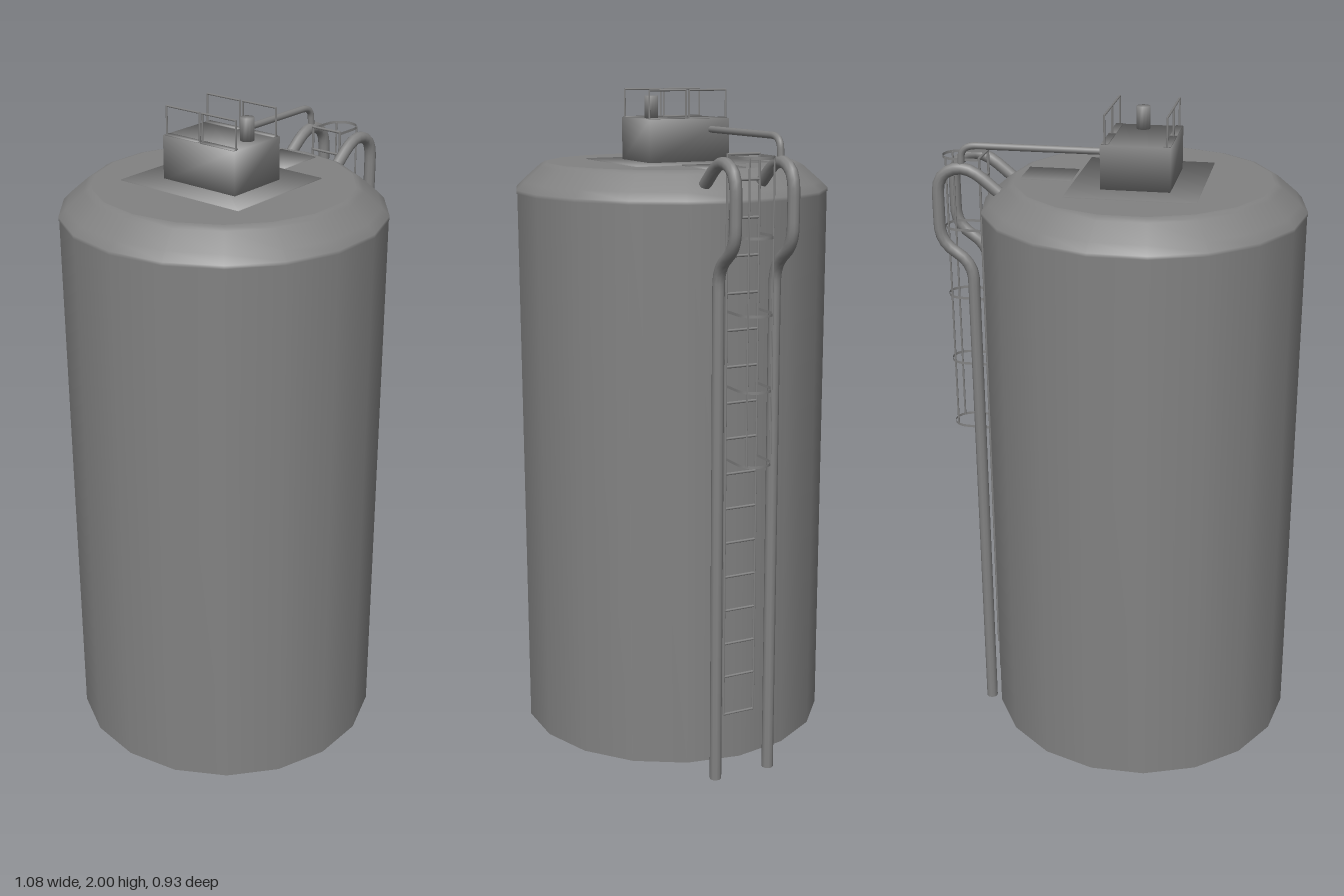
import * as THREE from 'three';

const V = (x, y, z) => new THREE.Vector3(x, y, z);

// Round off the shading: normals point from the centre through each corner
function soften(geo) {
  geo.computeBoundingBox();
  const half = geo.boundingBox.getSize(V(0, 0, 0)).multiplyScalar(0.5);
  const { position, normal } = geo.attributes;
  const n = V(0, 0, 0);
  for (let i = 0; i < position.count; i++) {
    n.fromBufferAttribute(position, i).divide(half).normalize();
    normal.setXYZ(i, n.x, n.y, n.z);
  }
  return geo;
}

export function createModel() {
  const model = new THREE.Group();
  model.name = 'storageTank';
  const mat = new THREE.MeshStandardMaterial({ color: 0x828282 });
  const shell = new THREE.MeshStandardMaterial({ color: 0x828282, side: THREE.DoubleSide });

  const add = (name, geo, parent = model, material = mat) => {
    const mesh = new THREE.Mesh(geo, material);
    mesh.name = name;
    parent.add(mesh);
    return mesh;
  };
  const group = (name) => {
    const g = new THREE.Group();
    g.name = name;
    model.add(g);
    return g;
  };
  // soft-shaded box given by its limits on each axis
  const box = (name, x0, x1, y0, y1, z0, z1, parent) =>
    add(name, soften(new THREE.BoxGeometry(x1 - x0, y1 - y0, z1 - z0)), parent)
      .position.set((x0 + x1) / 2, (y0 + y1) / 2, (z0 + z1) / 2);
  // straight round bar between two points
  const bar = (name, a, b, r, parent) => {
    const m = add(name, new THREE.CylinderGeometry(r, r, a.distanceTo(b), 6), parent);
    m.position.copy(a).lerp(b, 0.5);
    m.quaternion.setFromUnitVectors(V(0, 1, 0), b.clone().sub(a).normalize());
  };
  // polyline path with rounded corners
  const roundedPath = (pts, r) => {
    const path = new THREE.CurvePath();
    let last = pts[0];
    for (let i = 1; i < pts.length - 1; i++) {
      const p = pts[i];
      const cut = (q) => p.clone().add(q.clone().sub(p).setLength(Math.min(r, q.distanceTo(p) * 0.49)));
      const a = cut(pts[i - 1]), b = cut(pts[i + 1]);
      path.add(new THREE.LineCurve3(last, a));
      path.add(new THREE.QuadraticBezierCurve3(a, p, b));
      last = b;
    }
    path.add(new THREE.LineCurve3(last, pts[pts.length - 1]));
    return path;
  };
  const pipe = (name, pts, bend, r, parent) =>
    add(name, new THREE.TubeGeometry(roundedPath(pts, bend), 90, r, 10), parent, shell);

  // Tank: 18-sided open wall, rounded shoulder and flat roof
  const tank = group('tank');
  tank.position.x = -0.07;
  const lathe = (name, profile) => add(name, new THREE.LatheGeometry(
    profile.map(([x, y]) => new THREE.Vector2(x, y)), 18, Math.PI / 2), tank, shell);
  lathe('wall', [[0.47, 0.04], [0.47, 1.705]]);
  lathe('shoulder', [[0.472, 1.7], [0.472, 1.71], [0.45, 1.732], [0.398, 1.777], [0.385, 1.785], [0.376, 1.787]]);
  add('roof', new THREE.CircleGeometry(0.376, 18).rotateX(-Math.PI / 2), tank, shell).position.y = 1.787;

  // Roof plates and equipment box
  box('roofPlate', -0.25, 0.122, 1.75, 1.79, -0.23, 0.2);
  box('roofHatch', 0.132, 0.28, 1.75, 1.79, -0.067, 0.061);
  box('equipmentBox', -0.165, 0.033, 1.785, 1.915, -0.143, 0.118);
  add('ventStack', soften(new THREE.CylinderGeometry(0.02, 0.02, 0.07, 12)))
    .position.set(-0.055, 1.945, 0.072);

  // Guard rails on both sides of the box, two frames per side
  const rails = group('guardRails');
  for (const x of [-0.154, 0.021]) {
    for (const [z0, z1] of [[-0.137, -0.016], [-0.006, 0.113]]) {
      box('railFoot', x - 0.01, x + 0.01, 1.913, 1.918, z0, z1, rails);
      bar('railPost', V(x, 1.915, z0), V(x, 1.998, z0), 0.003, rails);
      bar('railPost', V(x, 1.915, z1), V(x, 1.998, z1), 0.003, rails);
      bar('railTop', V(x, 1.997, z0), V(x, 1.997, z1), 0.003, rails);
    }
  }

  // Gooseneck pipes running from the ground to the shoulder
  const pipes = group('pipes');
  for (const z of [-0.084, 0.093]) {
    pipe('gooseneckPipe', [
      V(0.425, 0, z), V(0.425, 1.53, z), V(0.5215, 1.595, z), V(0.5215, 1.785, z),
      V(0.47, 1.818, z), V(0.415, 1.812, z), V(0.335, 1.745, z),
    ], 0.05, 0.0175, pipes);
    add('pipeFoot', new THREE.CircleGeometry(0.0175, 10).rotateX(Math.PI / 2), pipes)
      .position.set(0.425, 0, z);
  }
  // Thin line from the box to the rear gooseneck
  pipe('feedPipe', [V(0.03, 1.883, -0.083), V(0.445, 1.883, -0.083), V(0.45, 1.815, -0.083)],
    0.045, 0.01, pipes);

  // Ladder
  const ladder = group('ladder');
  const lx = 0.406, zMid = 0.008, half = 0.05;
  for (const s of [-1, 1]) {
    bar('ladderRail', V(lx, 0.19, zMid + s * half), V(lx, 1.837, zMid + s * half), 0.004, ladder);
  }
  const rungHeights = [0.19, 1.835];
  for (let i = 1; i < 16; i++) rungHeights.push(0.206 + i * 0.104);
  for (const y of rungHeights) {
    bar('rung', V(lx, y, zMid - half), V(lx, y, zMid + half), 0.004, ladder);
  }

  // Safety cage: U-shaped flat hoops joined by two uprights
  const cage = group('safetyCage');
  const hoopPts = [V(lx, 0, zMid - half), V(0.44, 0, zMid - half)];
  for (let k = 0; k <= 8; k++) {
    const a = -Math.PI / 2 + (k * Math.PI) / 8;
    hoopPts.push(V(0.478 + half * Math.cos(a), 0, zMid + half * Math.sin(a)));
  }
  hoopPts.push(V(0.44, 0, zMid + half), V(lx, 0, zMid + half));
  const hoopCurve = new THREE.CatmullRomCurve3(hoopPts);
  const hoop = new THREE.PlaneGeometry(1, 0.008, 28, 1);
  const pos = hoop.attributes.position;
  for (let i = 0; i < pos.count; i++) {
    const p = hoopCurve.getPointAt(THREE.MathUtils.clamp(0.5 - pos.getX(i), 0, 1));
    pos.setXYZ(i, p.x, pos.getY(i), p.z);
  }
  hoop.computeVertexNormals();
  for (let i = 0; i < 5; i++) add('hoop', hoop, cage, shell).position.y = 0.98 + i * 0.2125;
  for (const s of [-1, 1]) {
    const z = zMid + s * 0.038;
    bar('cageUpright', V(0.51, 0.98, z), V(0.51, 1.83, z), 0.003, cage);
  }

  return model;
}
